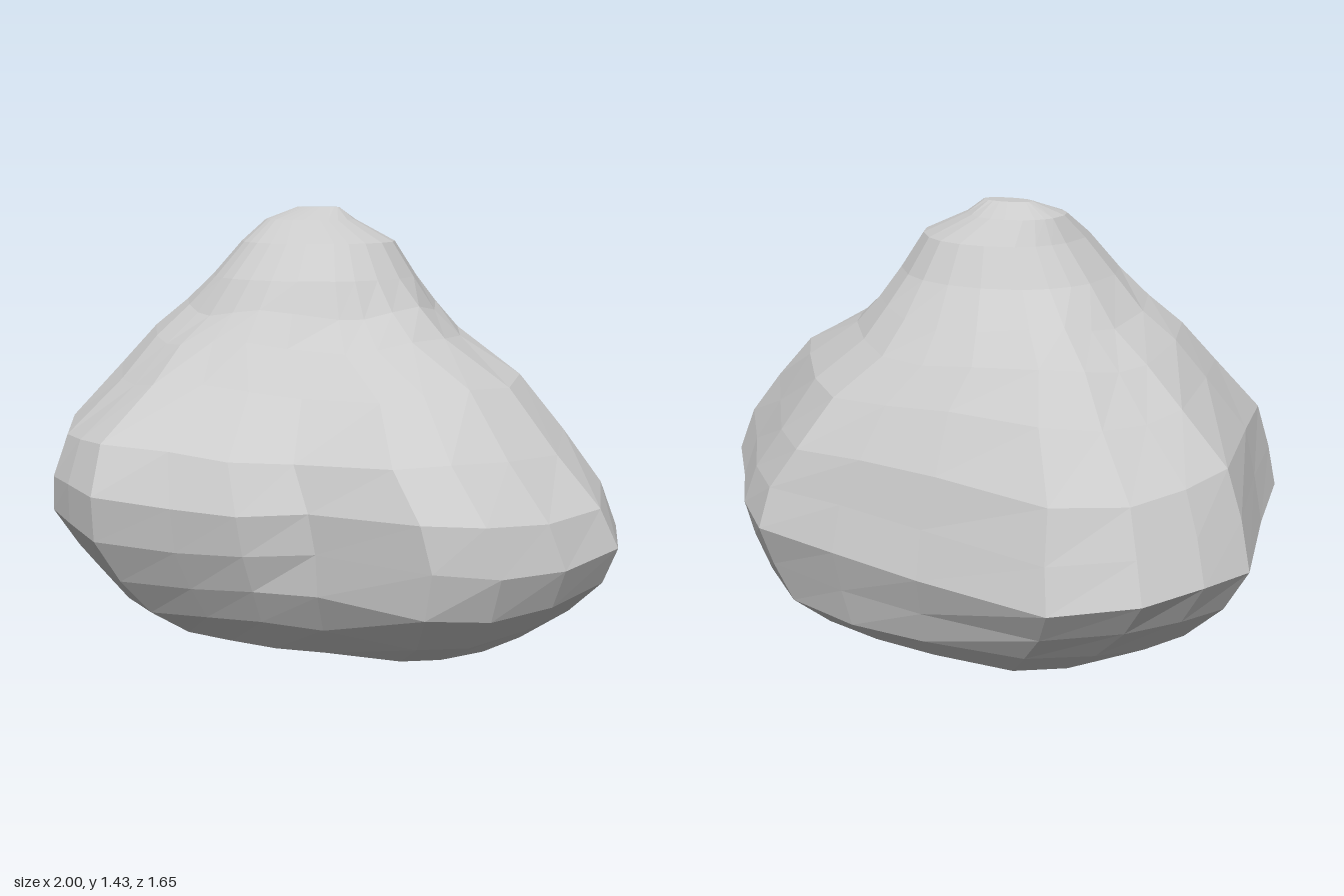
import * as THREE from 'three';

// Plan outline [x, z] at the widest level, running from +x towards +z
const plan = [
  [1, 0.14], [0.92, 0.38], [0.8, 0.56], [0.64, 0.65], [0.28, 0.65], [0.08, 0.73], [-0.13, 0.77],
  [-0.38, 0.83], [-0.54, 0.75], [-0.7, 0.64], [-0.91, 0.37], [-0.94, 0.05], [-1, -0.35],
  [-0.92, -0.53], [-0.8, -0.7], [-0.58, -0.83], [-0.17, -0.79], [0.12, -0.77], [0.4, -0.74],
  [0.58, -0.57], [0.75, -0.34], [0.92, -0.13],
];

// Levels: [y, xMin, xMax, zMin, zMax, roundness]
const levels = [
  [0.03, -0.42, 0.44, -0.34, 0.31, 0.6],
  [0.11, -0.69, 0.69, -0.62, 0.53, 0.5],
  [0.22, -0.84, 0.85, -0.73, 0.65, 0.4],
  [0.34, -0.94, 0.955, -0.775, 0.73, 0.15],
  [0.47, -1, 1, -0.83, 0.8, 0],
  [0.6, -0.96, 0.95, -0.795, 0.82, 0],
  [0.74, -0.915, 0.81, -0.76, 0.76, 0.1],
  [0.9, -0.78, 0.63, -0.66, 0.56, 0.3],
  [1.02, -0.67, 0.4, -0.57, 0.43, 0.6],
  [1.11, -0.56, 0.3, -0.49, 0.335, 0.8],
  [1.21, -0.46, 0.23, -0.4, 0.27, 0.9],
  [1.32, -0.37, 0.15, -0.335, 0.17, 0.9],
  [1.39, -0.32, -0.01, -0.27, 0.02, 0.9],
  [1.43, -0.23, -0.07, -0.19, -0.11, 1],
];

// Fit the outline, partly rounded to an ellipse, into the bounds of one level
function levelPoint([y, x0, x1, z0, z1, round], [px, pz], j) {
  const a = Math.atan2(pz / 0.83, px);
  const u = THREE.MathUtils.lerp(px, Math.cos(a), round);
  const v = THREE.MathUtils.lerp(pz / 0.83, Math.sin(a), round);
  const x = THREE.MathUtils.lerp(x0, x1, (u + 1) / 2);
  let z = THREE.MathUtils.lerp(z0, z1, (v + 1) / 2);
  // full lower cheek on the front left
  if (pz > 0.3) z += 0.07 * Math.exp(-(((x - 0.48) / 0.28) ** 2) - ((y - 0.34) / 0.12) ** 2);
  // slight unevenness of the worn surface
  const wave = y > 0.2 && y < 1.2 ? 0.015 * Math.sin(j * 1.3 + y * 7) : 0;
  return [x, y + wave, z];
}

export function createModel() {
  const group = new THREE.Group();
  const n = plan.length;
  const positions = [];
  const index = [];
  for (const level of levels) plan.forEach((p, j) => positions.push(...levelPoint(level, p, j)));
  const bottom = positions.length / 3;
  positions.push(-0.06, 0, 0, -0.15, 1.43, -0.15);

  // Skin between the levels, then the caps
  const last = (levels.length - 1) * n;
  for (let j = 0; j < n; j++) {
    const k = (j + 1) % n;
    for (let i = 0; i < last; i += n) {
      index.push(i + j, i + n + j, i + k, i + k, i + n + j, i + n + k);
    }
    index.push(bottom, j, k, bottom + 1, last + k, last + j);
  }

  const indexed = new THREE.BufferGeometry();
  indexed.setAttribute('position', new THREE.Float32BufferAttribute(positions, 3));
  indexed.setIndex(index);
  const geometry = indexed.toNonIndexed();
  geometry.computeVertexNormals();

  const rock = new THREE.Mesh(
    geometry,
    new THREE.MeshStandardMaterial({ color: 0xcccccc, flatShading: true }),
  );
  rock.name = 'rock';
  group.add(rock);
  return group;
}
